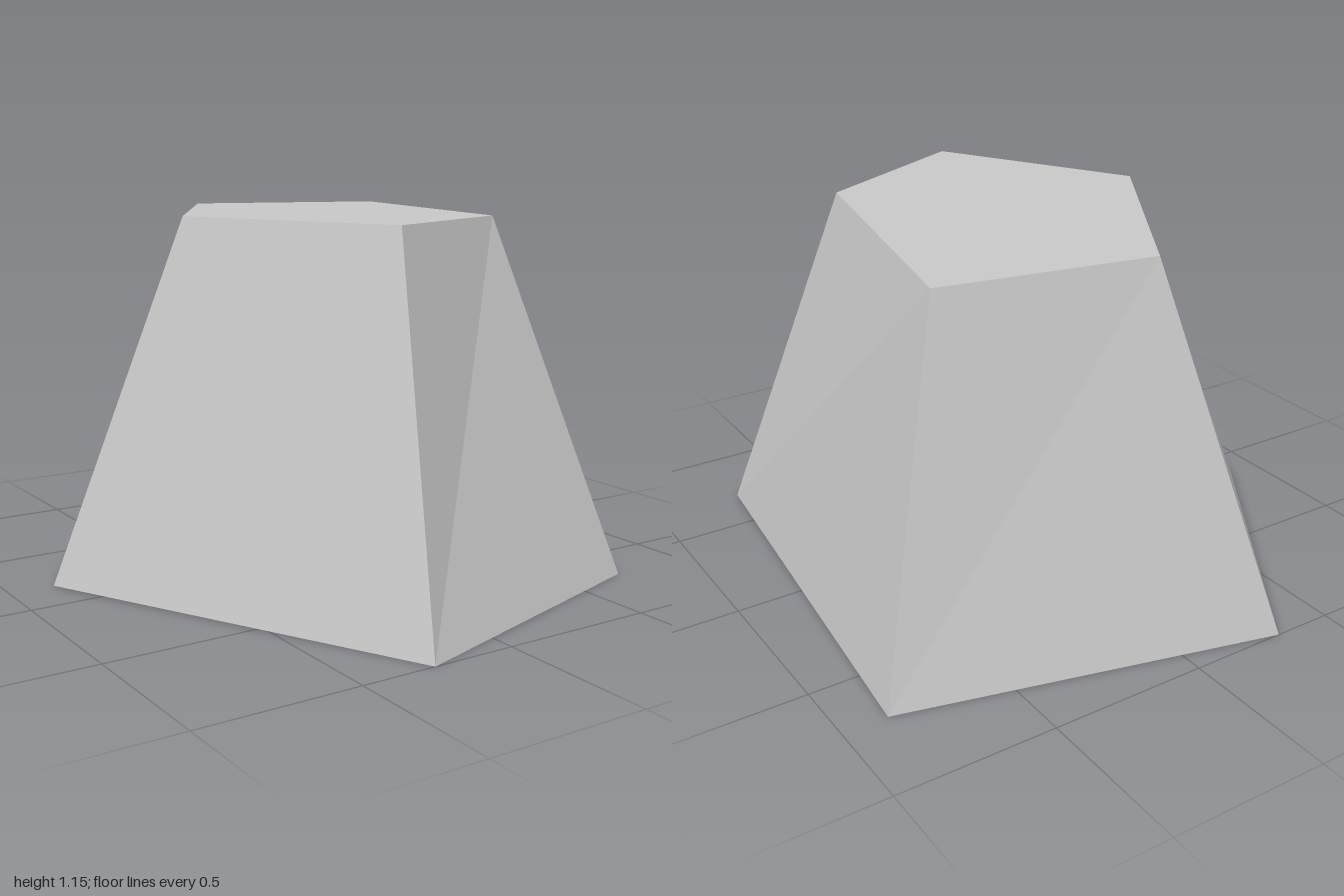
import * as THREE from 'three';

// Corners as [x, y, z], clockwise when seen from above
const base = [
  [-0.31, 0, -1.0], [0.86, 0, -0.71], [0.71, 0, 0.70], [-0.265, 0, 1.0], [-0.86, 0.004, -0.165],
];
const crown = [
  [-0.066, 1.143, -0.66], [0.593, 1.138, -0.53], [0.40, 1.139, 0.405], [-0.14, 1.143, 0.66], [-0.487, 1.147, 0.027],
];

// Flat polygon from corners listed counter-clockwise as seen from outside
function facet(corners) {
  const points = [];
  for (let i = 1; i < corners.length - 1; i++) {
    points.push(...corners[0], ...corners[i], ...corners[i + 1]);
  }
  const geometry = new THREE.BufferGeometry();
  geometry.setAttribute('position', new THREE.Float32BufferAttribute(points, 3));
  geometry.computeVertexNormals();
  return geometry;
}

export function createModel() {
  const group = new THREE.Group();
  group.name = 'hollowBlock';
  const grey = new THREE.MeshStandardMaterial({
    color: 0xc8c8c8, flatShading: true, side: THREE.DoubleSide,
  });
  grey.name = 'light grey';

  const add = (name, corners) => {
    const mesh = new THREE.Mesh(facet(corners), grey);
    mesh.name = name;
    group.add(mesh);
  };

  // Five sloping walls, open underneath
  const names = ['backWall', 'leftWall', 'frontWall', 'frontRightWall', 'backRightWall'];
  names.forEach((name, i) => {
    const j = (i + 1) % base.length;
    add(name, [base[j], base[i], crown[i], crown[j]]);
  });

  // Closed top
  add('topFace', [...crown].reverse());
  return group;
}
